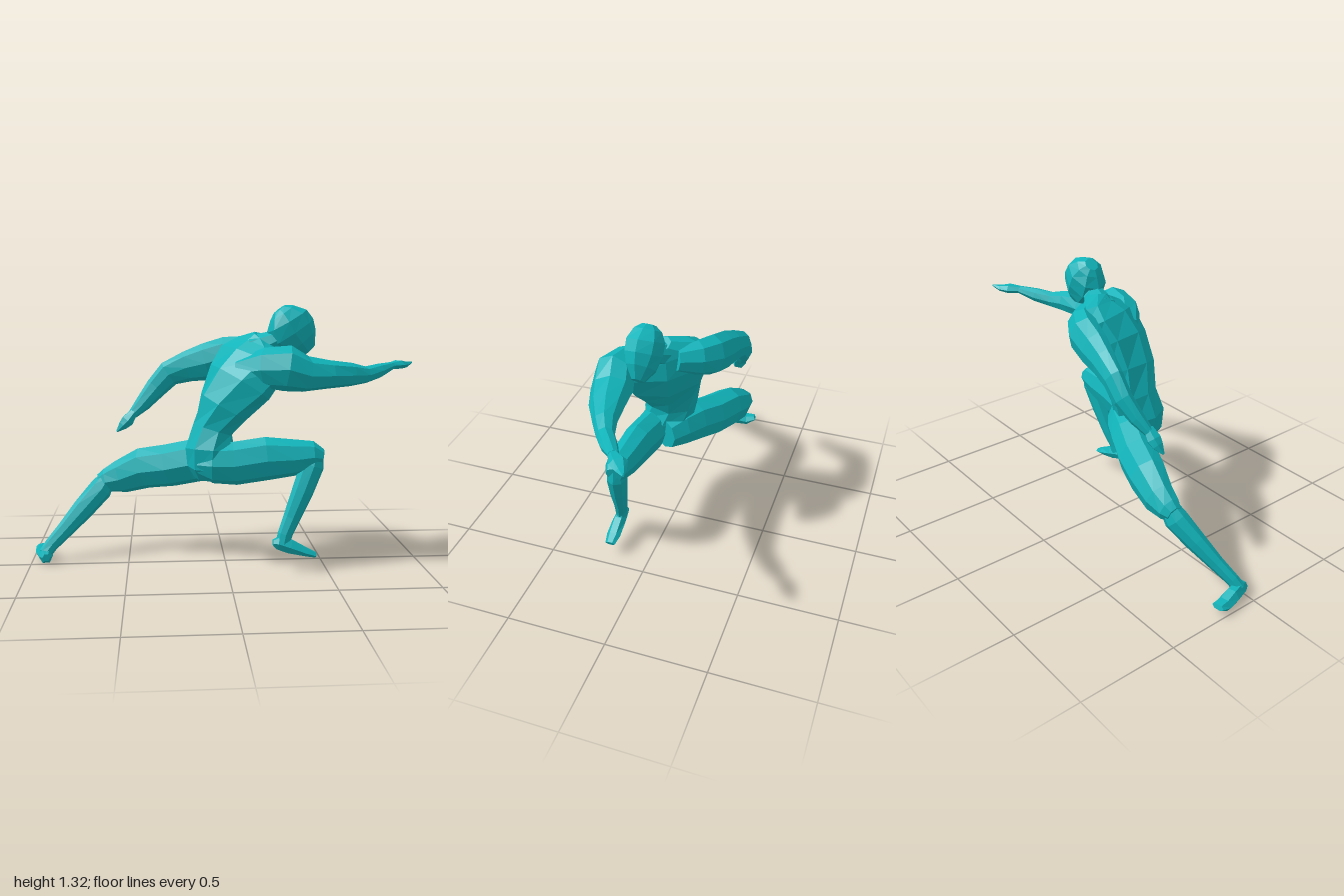
import * as THREE from 'three';

const Z = [0, 0, 1];

// Flat-faceted body part lofted through rings.
// Ring: [x, y, z, half width along side, half depth, optional side.x twist]
function loft(rings, side = Z, sides = 8) {
  const pos = [], index = [];
  const centers = rings.map(r => new THREE.Vector3(r[0], r[1], r[2]));
  const last = rings.length - 1;
  rings.forEach((r, i) => {
    const t = centers[Math.min(i + 1, last)].clone().sub(centers[Math.max(i - 1, 0)]).normalize();
    const w = new THREE.Vector3(...side);
    w.x += r[5] || 0;
    w.normalize().addScaledVector(t, -w.dot(t)).normalize();
    const v = t.clone().cross(w);
    for (let j = 0; j < sides; j++) {
      const a = (j / sides) * Math.PI * 2;
      const p = centers[i].clone()
        .addScaledVector(w, r[3] * Math.cos(a))
        .addScaledVector(v, r[4] * Math.sin(a));
      pos.push(p.x, p.y, p.z);
    }
  });
  for (let i = 0; i < last; i++) {
    for (let j = 0; j < sides; j++) {
      const k = (j + 1) % sides;
      const a = i * sides + j, b = i * sides + k, c = a + sides, d = b + sides;
      index.push(a, b, d, a, d, c);
    }
  }
  const top = last * sides;
  for (let j = 1; j < sides - 1; j++) {
    index.push(0, j + 1, j, top, top + j, top + j + 1);
  }
  const g = new THREE.BufferGeometry();
  g.setAttribute('position', new THREE.Float32BufferAttribute(pos, 3));
  g.setIndex(index);
  const flat = g.toNonIndexed();
  flat.computeVertexNormals();
  return flat;
}

export function createModel() {
  const group = new THREE.Group();
  group.name = 'lungingFigure';
  const teal = new THREE.MeshStandardMaterial({ color: 0x10b4ba });
  teal.name = 'teal';
  const add = (name, rings, side, sides) => {
    const mesh = new THREE.Mesh(loft(rings, side, sides), teal);
    mesh.name = name;
    group.add(mesh);
  };

  // Torso leans forward and twists towards the shoulders
  add('torso', [
    [-0.08, 0.46, 0.05, 0.07, 0.08],
    [-0.08, 0.52, 0.06, 0.12, 0.115],
    [-0.08, 0.60, 0.06, 0.13, 0.125, 0.05],
    [-0.065, 0.70, 0.035, 0.13, 0.105, 0.15],
    [-0.01, 0.82, 0.04, 0.17, 0.125, 0.4],
    [0.07, 0.94, 0.03, 0.225, 0.14, 0.6],
    [0.14, 1.05, 0.015, 0.26, 0.12, 0.65],
    [0.17, 1.12, 0, 0.17, 0.075, 0.6],
    [0.19, 1.16, 0.01, 0.06, 0.05, 0.35],
  ]);
  add('neck', [
    [0.15, 1.10, 0, 0.085, 0.075],
    [0.24, 1.14, 0.025, 0.058, 0.055],
    [0.32, 1.18, 0.03, 0.05, 0.05],
  ]);
  // Head bowed, chin forward and crown back
  add('head', [
    [0.415, 1.09, 0.03, 0.03, 0.045],
    [0.375, 1.135, 0.03, 0.07, 0.10],
    [0.335, 1.185, 0.03, 0.09, 0.124],
    [0.305, 1.24, 0.03, 0.092, 0.115],
    [0.28, 1.28, 0.03, 0.068, 0.07],
    [0.266, 1.298, 0.03, 0.035, 0.036],
  ]);

  // Left leg, bent in front
  add('leftThigh', [
    [-0.14, 0.54, 0.10, 0.055, 0.06],
    [-0.07, 0.54, 0.115, 0.08, 0.10],
    [0.04, 0.54, 0.12, 0.082, 0.11],
    [0.20, 0.565, 0.132, 0.078, 0.11],
    [0.34, 0.57, 0.14, 0.07, 0.092],
    [0.43, 0.58, 0.145, 0.062, 0.073],
    [0.475, 0.57, 0.145, 0.042, 0.042],
  ]);
  add('leftShin', [
    [0.44, 0.60, 0.145, 0.04, 0.04],
    [0.425, 0.53, 0.15, 0.052, 0.06],
    [0.375, 0.40, 0.165, 0.045, 0.055],
    [0.32, 0.27, 0.18, 0.035, 0.044],
    [0.285, 0.19, 0.195, 0.03, 0.038],
    [0.275, 0.14, 0.20, 0.03, 0.038],
  ]);
  add('leftFoot', [
    [0.225, 0.15, 0.20, 0.022, 0.016],
    [0.25, 0.15, 0.20, 0.03, 0.036],
    [0.31, 0.13, 0.20, 0.035, 0.038],
    [0.39, 0.10, 0.20, 0.036, 0.022],
    [0.44, 0.083, 0.20, 0.026, 0.013],
  ], Z, 6);

  // Right leg, stretched out behind
  add('rightThigh', [
    [0.03, 0.54, 0.045, 0.08, 0.085],
    [-0.05, 0.54, 0, 0.095, 0.105],
    [-0.15, 0.525, -0.05, 0.10, 0.113],
    [-0.28, 0.49, -0.11, 0.10, 0.113],
    [-0.42, 0.465, -0.165, 0.092, 0.11],
    [-0.54, 0.415, -0.195, 0.074, 0.09],
    [-0.62, 0.395, -0.20, 0.06, 0.062],
    [-0.655, 0.385, -0.20, 0.042, 0.042],
  ]);
  add('rightShin', [
    [-0.61, 0.41, -0.20, 0.045, 0.045],
    [-0.65, 0.35, -0.185, 0.058, 0.062],
    [-0.74, 0.255, -0.14, 0.047, 0.057],
    [-0.83, 0.16, -0.09, 0.035, 0.044],
    [-0.90, 0.09, -0.05, 0.03, 0.036],
    [-0.93, 0.05, -0.03, 0.032, 0.033],
  ]);
  add('rightFoot', [
    [-0.92, 0.04, 0.015, 0.02, 0.02],
    [-0.925, 0.04, -0.02, 0.036, 0.042],
    [-0.945, 0.04, -0.09, 0.04, 0.042],
    [-0.955, 0.03, -0.15, 0.04, 0.033],
    [-0.965, 0.045, -0.20, 0.032, 0.014],
  ], [1, 0, 0], 6);

  // Left arm, reaching forward
  add('leftArm', [
    [0.08, 1.00, 0.09, 0.08, 0.07],
    [0.19, 1.02, 0.17, 0.09, 0.10],
    [0.29, 1.02, 0.195, 0.10, 0.112],
    [0.38, 0.99, 0.175, 0.10, 0.088],
    [0.50, 0.985, 0.15, 0.083, 0.07],
    [0.62, 0.98, 0.11, 0.055, 0.058],
    [0.70, 0.975, 0.075, 0.042, 0.042],
    [0.78, 0.99, 0.025, 0.04, 0.036],
    [0.86, 1.01, -0.03, 0.025, 0.02],
  ]);
  add('leftHand', [
    [0.85, 1.01, -0.02, 0.02, 0.018],
    [0.905, 1.013, -0.07, 0.042, 0.024],
    [0.95, 1.01, -0.10, 0.024, 0.016],
    [0.99, 1.02, -0.125, 0.005, 0.005],
  ], Z, 6);

  // Right arm, swung back
  add('rightArm', [
    [0.18, 1.09, -0.07, 0.05, 0.06],
    [0.11, 1.075, -0.15, 0.07, 0.085],
    [0.03, 1.055, -0.195, 0.078, 0.10],
    [-0.08, 1.02, -0.215, 0.07, 0.10],
    [-0.18, 0.995, -0.24, 0.055, 0.082],
    [-0.28, 0.955, -0.262, 0.045, 0.068],
    [-0.35, 0.88, -0.262, 0.042, 0.057],
    [-0.42, 0.80, -0.235, 0.035, 0.042],
    [-0.475, 0.745, -0.21, 0.024, 0.025],
  ]);
  add('rightHand', [
    [-0.465, 0.76, -0.205, 0.026, 0.022],
    [-0.50, 0.715, -0.20, 0.038, 0.036],
    [-0.525, 0.69, -0.197, 0.03, 0.027],
    [-0.558, 0.658, -0.19, 0.006, 0.005],
  ], Z, 6);

  return group;
}
